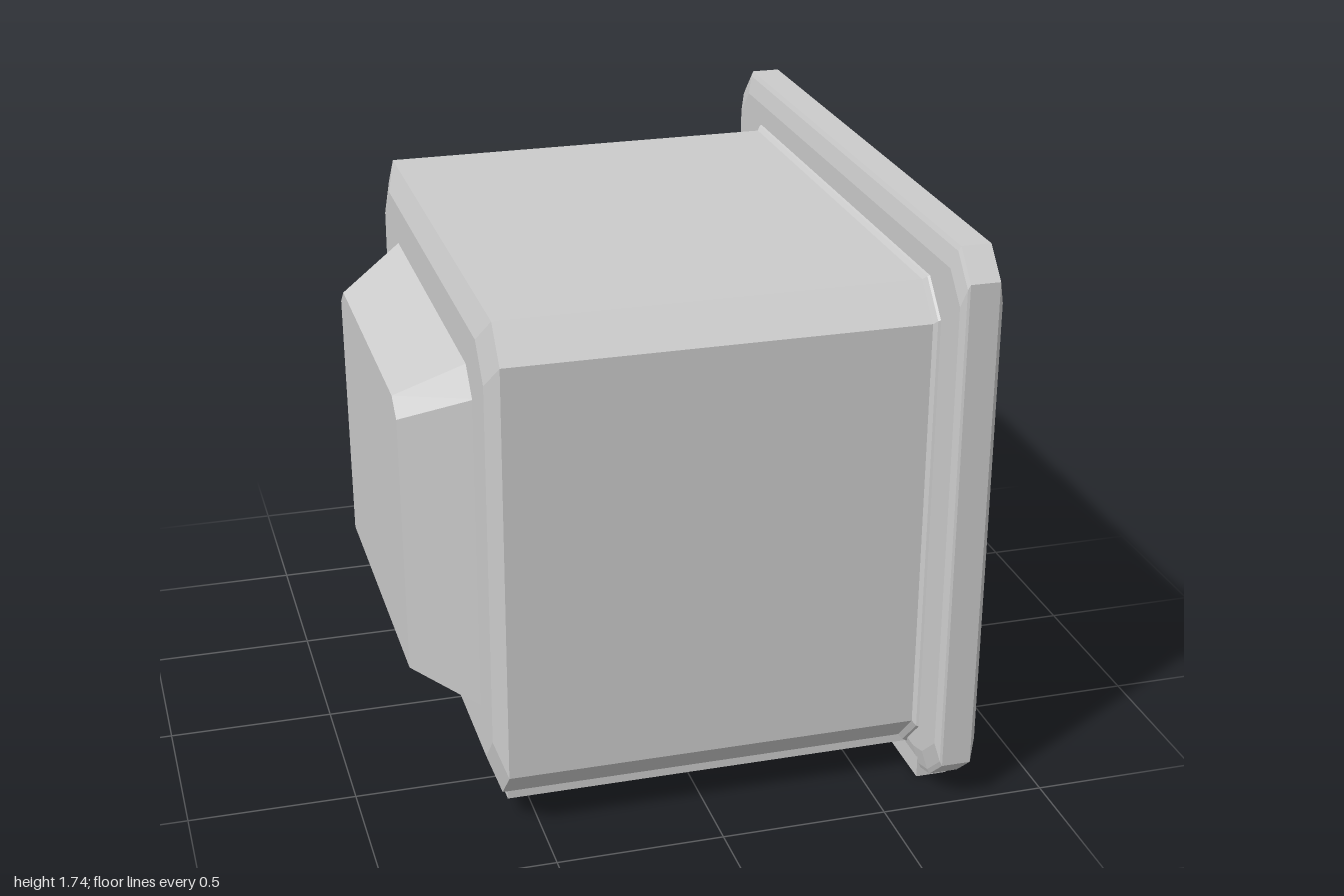
import * as THREE from 'three';

const material = new THREE.MeshStandardMaterial({ color: 0xcccccc, flatShading: true });
const smooth = new THREE.MeshStandardMaterial({ color: 0xcccccc, side: THREE.DoubleSide });

// Mirror a half outline of [z, y] points (bottom to top, +z side) into a closed ring at x;
// lean shifts the upper points along x.
function ring(x, half, lean = 0) {
  const all = [...half, ...half.map(([z, y]) => [-z, y]).reverse()];
  return all.map(([z, y]) => [x - lean * y, y, z]);
}

// Inset a half outline by dz at the sides, dy at top and bottom.
function inset(half, dz, dy = dz) {
  const mid = (half[0][1] + half[half.length - 1][1]) / 2;
  return half.map(([z, y]) => [z - dz, y + (y < mid ? dy : -dy)]);
}

// Skin rings that follow one another along +x, with optional end caps.
function loft(name, rings, capBack, capFront) {
  const pos = [];
  const n = rings[0].length;
  const tri = (a, b, c) => pos.push(...a, ...b, ...c);
  for (let r = 0; r < rings.length - 1; r++) {
    for (let i = 0; i < n; i++) {
      const j = (i + 1) % n;
      const [p, q] = [rings[r], rings[r + 1]];
      tri(p[i], q[i], p[j]);
      tri(p[j], q[i], q[j]);
    }
  }
  const last = rings[rings.length - 1];
  for (let i = 1; i < n - 1; i++) {
    if (capBack) tri(rings[0][0], rings[0][i], rings[0][i + 1]);
    if (capFront) tri(last[0], last[i + 1], last[i]);
  }
  const geometry = new THREE.BufferGeometry();
  geometry.setAttribute('position', new THREE.Float32BufferAttribute(pos, 3));
  geometry.computeVertexNormals();
  const mesh = new THREE.Mesh(geometry, material);
  mesh.name = name;
  return mesh;
}

function box(name, x0, x1, y0, y1, z0, z1) {
  const mesh = new THREE.Mesh(new THREE.BoxGeometry(x1 - x0, y1 - y0, z1 - z0), material);
  mesh.position.set((x0 + x1) / 2, (y0 + y1) / 2, (z0 + z1) / 2);
  mesh.name = name;
  return mesh;
}

// Bulged glass: a grid pushed out along +x
function makeScreen() {
  const geometry = new THREE.PlaneGeometry(1.82, 1.34, 32, 28);
  const p = geometry.attributes.position;
  for (let i = 0; i < p.count; i++) {
    const u = Math.abs(p.getX(i) / 0.91);
    const v = Math.abs(p.getY(i) / 0.67);
    p.setZ(i, 0.075 * Math.max(0, 1 - u ** 4.5) * Math.max(0, 1 - v ** 6));
  }
  geometry.rotateY(Math.PI / 2);
  geometry.translate(0.75, 0.89, 0);
  geometry.computeVertexNormals();
  const mesh = new THREE.Mesh(geometry, smooth);
  mesh.name = 'screen';
  return mesh;
}

export function createModel() {
  const group = new THREE.Group();
  group.name = 'monitor';

  // Chamfered case, bevelled at the rear and flared where it meets the bezel
  const body = [[0.74, 0.095], [0.84, 0.2], [0.84, 1.48], [0.745, 1.58]];
  group.add(loft('case', [
    ring(-0.63, inset(body, 0.08)),
    ring(-0.6, body),
    ring(0.64, body),
    ring(0.65, inset(body, -0.012)),
    ring(0.67, inset(body, -0.02)),
  ], true, true));

  // Tapered tube housing at the rear
  const back = [[0.49, 0.41], [0.49, 1.21], [0.43, 1.26]];
  const base = [[0.61, 0.31], [0.61, 1.3], [0.53, 1.38]];
  group.add(loft('rearHousing', [
    ring(-0.815, back, 0.01),
    ring(-0.62, base),
  ], true, false));

  // Bezel: bevelled outer frame turning in to a recessed opening
  const outer = [[0.84, 0.03], [0.91, 0.05], [1, 0.13], [1, 1.65], [0.92, 1.735]];
  const opening = [[0.91, 0.22], [0.91, 0.22], [0.91, 0.22], [0.91, 1.56], [0.91, 1.56]];
  group.add(loft('bezel', [
    ring(0.657, inset(outer, 0.02, 0.07)),
    ring(0.67, inset(outer, 0.003, 0.015)),
    ring(0.677, outer),
    ring(0.765, outer),
    ring(0.783, inset(outer, 0.02, 0.07)),
    ring(0.783, inset(opening, -0.018)),
    ring(0.75, opening),
  ], true, false));
  group.add(makeScreen());

  // Foot under the bezel and rails under the case
  group.add(box('bezelFoot', 0.665, 0.76, 0, 0.11, -0.84, 0.84));
  for (const s of [-1, 1]) {
    const rail = box(s > 0 ? 'leftRail' : 'rightRail', -0.585, 0.66, 0.07, 0.12, -0.04, 0.04);
    rail.position.z = s * 0.7;
    group.add(rail);
  }
  return group;
}
